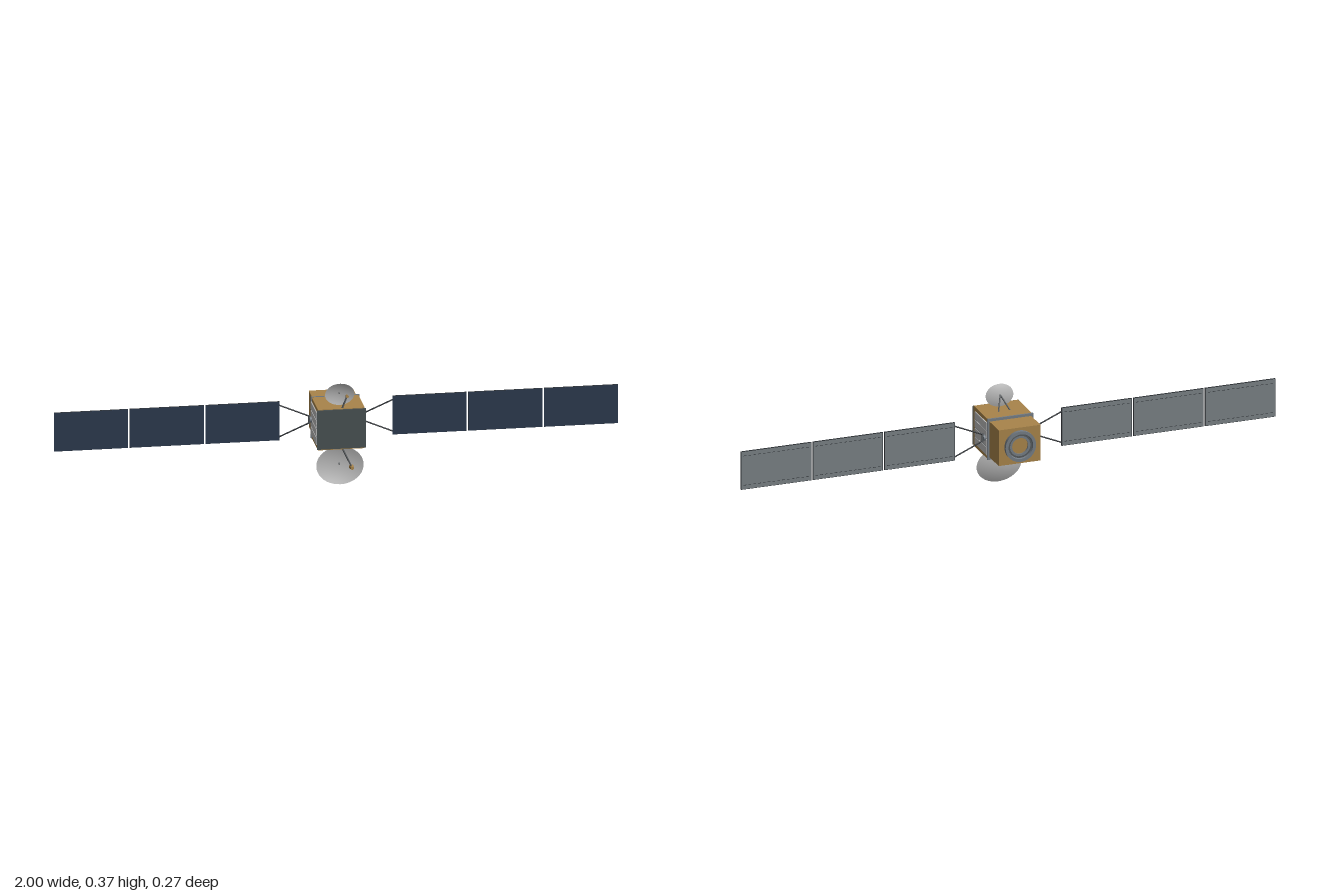
import * as THREE from 'three';

const mat = (name, color, side = THREE.FrontSide) => {
  const m = new THREE.MeshStandardMaterial({ color, side });
  m.name = name;
  return m;
};

export function createModel() {
  const gold = mat('gold foil', 0xa8844a);
  const slate = mat('dark slate', 0x4b5355);
  const navy = mat('solar navy', 0x2d3b50);
  const backGrey = mat('panel back grey', 0x798084);
  const light = mat('radiator light grey', 0xbcbcbc);
  const metal = mat('metal grey', 0x747c84);
  const dark = mat('dark frame', 0x2e3236);
  const strutGrey = mat('strut grey', 0x55595c);
  const dishGrey = mat('dish grey', 0xb8b8b8, THREE.DoubleSide);

  const model = new THREE.Group();
  model.name = 'satellite';
  const CY = 0.215, PZ = -0.007; // body mid height, solar array depth

  const add = (parent, name, geo, m, x = 0, y = 0, z = 0) => {
    const mesh = new THREE.Mesh(geo, m);
    mesh.name = name;
    mesh.position.set(x, y, z);
    parent.add(mesh);
    return mesh;
  };
  const box = (parent, name, m, w, h, d, x, y, z) =>
    add(parent, name, new THREE.BoxGeometry(w, h, d), m, x, y, z);
  // Round bar or cone between two points
  const rod = (parent, name, m, a, b, r0, r1 = r0, sides = 10) => {
    const p = new THREE.Vector3(...a), q = new THREE.Vector3(...b);
    const dir = q.clone().sub(p);
    const mesh = add(parent, name, new THREE.CylinderGeometry(r1, r0, dir.length(), sides), m);
    mesh.position.copy(p).add(q).multiplyScalar(0.5);
    mesh.quaternion.setFromUnitVectors(new THREE.Vector3(0, 1, 0), dir.normalize());
    return mesh;
  };

  // Body
  const body = new THREE.Group();
  body.name = 'body';
  model.add(body);
  box(body, 'mainBox', gold, 0.166, 0.15, 0.143, 0, CY, 0.0415);
  box(body, 'rearBox', gold, 0.156, 0.134, 0.093, 0, CY, -0.0755);
  box(body, 'collar', metal, 0.172, 0.153, 0.006, 0, CY, -0.028);
  box(body, 'frontPlate', slate, 0.173, 0.144, 0.005, 0, CY + 0.001, 0.1155);

  // Stepped adapter ring on the back, around a gold disc
  const profile = [[0.030, 0], [0.030, 0.006], [0.044, 0.006], [0.046, 0.013], [0.057, 0.013], [0.057, 0]];
  const ringPts = [];
  profile.forEach(([r, h]) => ringPts.push(new THREE.Vector2(r, h), new THREE.Vector2(r, h)));
  const ring = add(body, 'adapterRing',
    new THREE.LatheGeometry(ringPts.slice(1, -1).reverse(), 40), metal, 0, CY, -0.122);
  ring.rotation.x = -Math.PI / 2;
  ring.material = metal.clone();
  ring.material.side = THREE.DoubleSide;
  ring.material.name = 'ring metal grey';
  const groove = add(body, 'ringGroove', new THREE.RingGeometry(0.038, 0.044, 40), strutGrey, 0, CY, -0.1285);
  groove.rotation.y = Math.PI;

  for (const s of [-1, 1]) {
    // Radiator slats over a grey backing
    box(body, 'radiatorBacking', metal, 0.002, 0.12, 0.12, s * 0.0837, CY, 0.035);
    for (let i = 0; i < 4; i++) {
      box(body, 'radiatorSlat', light, 0.004, 0.0275, 0.12, s * 0.0847, CY + (i - 1.5) * 0.0335 * 0.93, 0.035);
    }

    // Solar wing
    const wing = new THREE.Group();
    wing.name = s > 0 ? 'leftWing' : 'rightWing';
    model.add(wing);
    rod(wing, 'wingHinge', metal, [s * 0.08, CY, PZ], [s * 0.094, CY, PZ], 0.0105, 0.0105, 20);
    box(wing, 'yokeBracket', strutGrey, 0.006, 0.032, 0.006, s * 0.095, CY, PZ);
    for (const v of [-1, 1]) {
      rod(wing, 'yokeStrut', dark, [s * 0.096, CY + v * 0.013, PZ], [s * 0.203, CY + v * 0.059, PZ], 0.0025);
    }
    for (let i = 0; i < 3; i++) {
      const w = 0.263, x = s * (0.2 + w / 2 + i * (0.8 - w) / 2);
      box(wing, 'panelCore', dark, w, 0.143, 0.005, x, CY + 0.001, PZ);
      box(wing, 'solarCells', navy, w - 0.001, 0.142, 0.0008, x, CY + 0.001, PZ + 0.0027);
      box(wing, 'panelBack', backGrey, w - 0.004, 0.140, 0.0008, x, CY + 0.001, PZ - 0.0027);
      // Dashed seams on the back
      for (const v of [-1, 1]) {
        for (let k = 0; k < 14; k++) {
          box(wing, 'backSeam', dark, 0.010, 0.0018, 0.0006,
            x + (k - 6.5) * 0.018, CY + 0.001 + v * 0.055, PZ - 0.0033);
        }
      }
    }
  }

  // Dish antenna: paraboloid, rear V struts and an offset feed horn
  const dish = (name, o) => {
    const g = new THREE.Group();
    g.name = name;
    model.add(g);
    const pts = [];
    for (let i = 0; i <= 8; i++) pts.push(new THREE.Vector2(i / 8, (i / 8) ** 2 - 1));
    const geo = new THREE.LatheGeometry(pts, 40);
    geo.rotateX(Math.PI / 2);
    geo.scale(o.rx, o.ry, o.depth);
    const reflector = add(g, 'reflector', geo, dishGrey, 0, o.y, o.z);
    reflector.rotation.x = o.tilt;
    for (const s of [-1, 1]) {
      rod(g, 'dishStrut', strutGrey, [0, o.back[0], o.back[1]], [s * o.foot[0], o.foot[1], o.foot[2]], 0.0027);
    }
    rod(g, 'feedStrut', strutGrey, o.arm[0], o.arm[1], 0.003);
    rod(g, 'feedHorn', gold, o.horn[0], o.horn[1], o.hornR[0], o.hornR[1], 16);
  };
  dish('upperDish', {
    rx: 0.052, ry: 0.041, depth: 0.0085, y: 0.3315, z: 0.0775, tilt: 0.11,
    back: [0.335, 0.069], foot: [0.022, 0.288, 0.029],
    arm: [[0.003, 0.285, 0.104], [0.022, 0.332, 0.102]],
    horn: [[0.022, 0.331, 0.095], [0.022, 0.333, 0.110]], hornR: [0.0045, 0.0055],
  });
  dish('lowerDish', {
    rx: 0.084, ry: 0.068, depth: 0.0135, y: 0.0705, z: 0.0825, tilt: -0.11,
    back: [0.07, 0.069], foot: [0.026, 0.142, 0.026],
    arm: [[0.003, 0.145, 0.107], [0.035, 0.078, 0.121]],
    horn: [[0.036, 0.073, 0.110], [0.036, 0.075, 0.136]], hornR: [0.0085, 0.0055],
  });
  return model;
}
